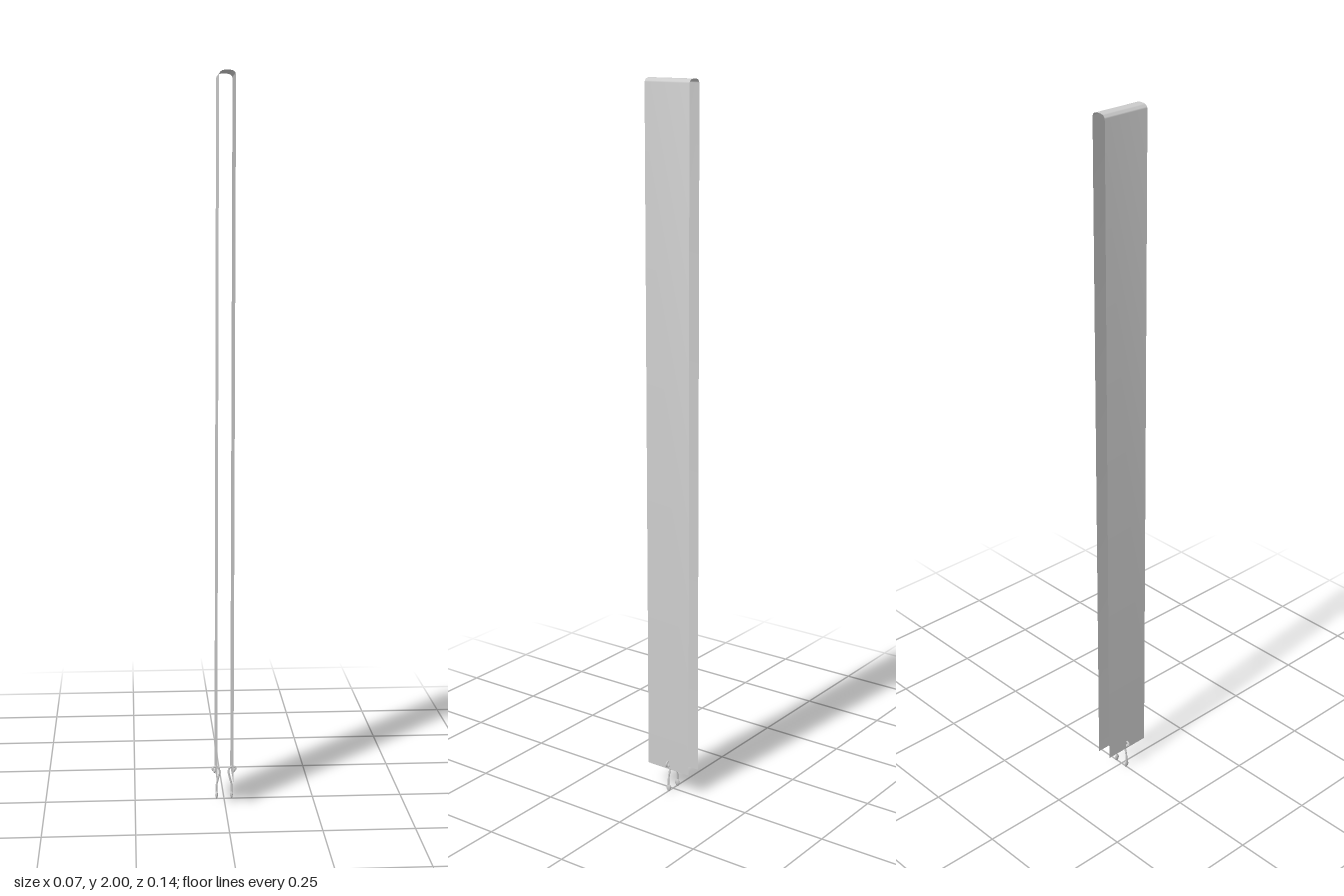
import * as THREE from 'three';
import { toCreasedNormals } from 'three/addons/utils/BufferGeometryUtils.js';

export function createModel() {
  const group = new THREE.Group();
  const material = new THREE.MeshStandardMaterial({ color: 0xcccccc, side: THREE.DoubleSide });

  // Folded strap: two long, slightly leaning sides joined by a rounded fold
  const profile = [[-0.023, 0.07]];
  const steps = 14;
  for (let i = 0; i <= steps; i++) {
    const a = Math.PI * (1 - i / steps);
    const c = Math.cos(a), s = Math.max(0, Math.sin(a));
    profile.push([
      0.005 + 0.022 * Math.sign(c) * Math.pow(Math.abs(c), 0.75),
      1.984 + 0.016 * Math.pow(s, 0.75),
    ]);
  }
  profile.push([0.022, 0.07]);

  const sheet = new THREE.PlaneGeometry(1, 1, profile.length - 1, 1);
  const pos = sheet.attributes.position;
  for (let i = 0; i < pos.count; i++) {
    const [x, y] = profile[i % profile.length];
    pos.setXYZ(i, x, y, i < profile.length ? -0.071 : 0.071);
  }
  const strap = new THREE.Mesh(toCreasedNormals(sheet, 0.7), material);
  strap.name = 'strap';
  group.add(strap);

  // Wire hooks curling outward through the lower ends of the strap
  for (const side of [-1, 1]) {
    const hook = new THREE.Group();
    hook.name = side < 0 ? 'rightHook' : 'leftHook';
    const path = new THREE.CatmullRomCurve3([
      [0.027, 0.081], [0.032, 0.084], [0.031, 0.091], [0.023, 0.094], [0.015, 0.089],
      [0.013, 0.076], [0.017, 0.058], [0.021, 0.04], [0.021, 0.01],
    ].map(([x, y]) => new THREE.Vector3(side * x, y, 0)));
    const wire = new THREE.Mesh(new THREE.TubeGeometry(path, 40, 0.0027, 8), material);
    wire.name = 'hookWire';
    hook.add(wire);

    // Flattened beads close both ends of the wire
    const beads = [['lowerBead', 0.021, 0.011, 0.011], ['upperBead', 0.027, 0.082, 0.006]];
    for (const [name, x, y, height] of beads) {
      const bead = new THREE.Mesh(new THREE.SphereGeometry(1, 12, 8), material);
      bead.name = name;
      bead.scale.set(0.0038, height, 0.0075);
      bead.position.set(side * x, y, 0);
      hook.add(bead);
    }
    group.add(hook);
  }
  return group;
}
